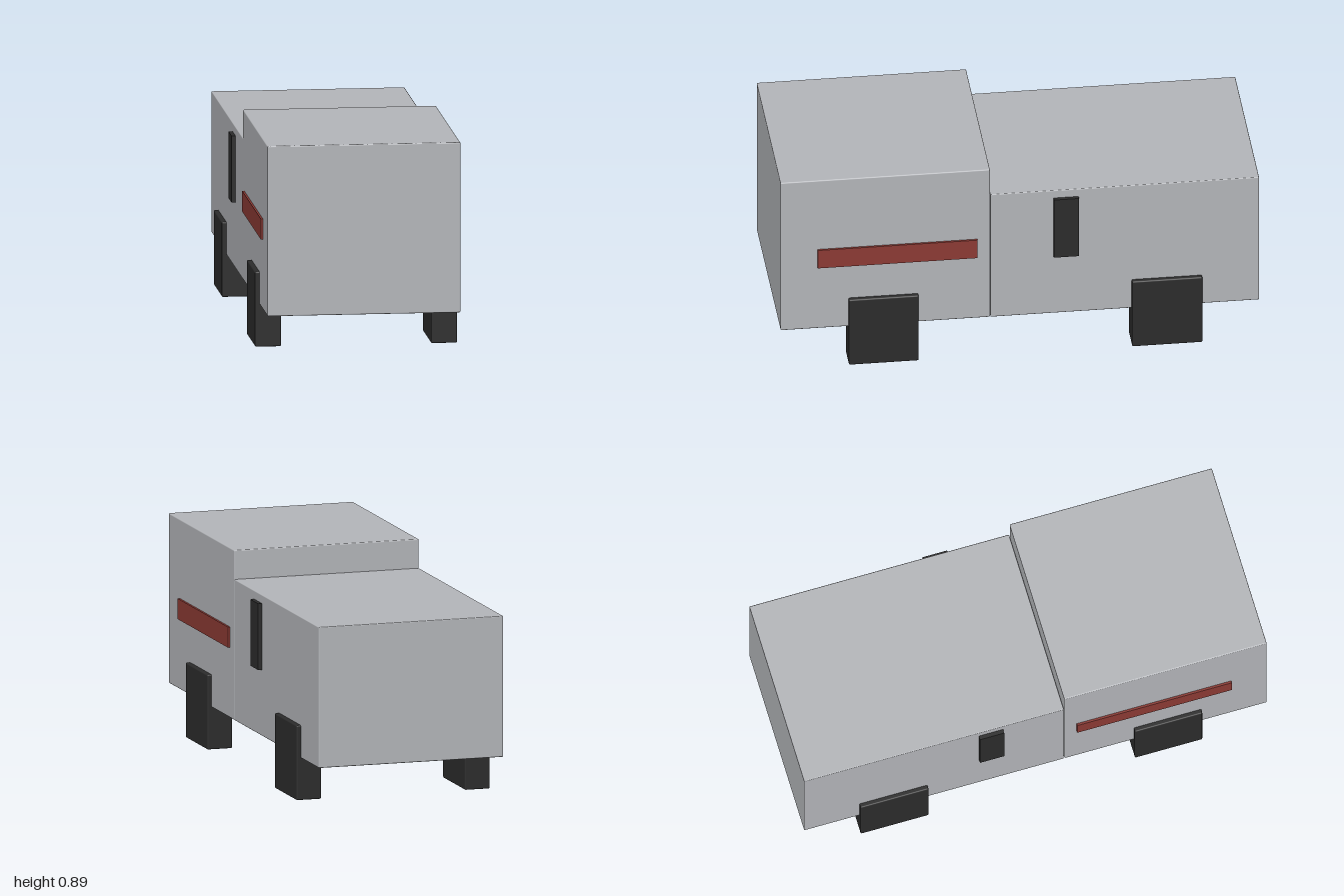
import * as THREE from 'three';
import { RoundedBoxGeometry } from 'three/addons/geometries/RoundedBoxGeometry.js';

export function createModel() {
  const model = new THREE.Group();
  model.name = 'blockTruck';

  const paint = (name, color) => {
    const m = new THREE.MeshStandardMaterial({ color });
    m.name = name;
    return m;
  };
  const grey = paint('bodyGrey', 0xb4b6ba);
  const red = paint('stripeRed', 0x8c3a34);
  const black = paint('rubberBlack', 0x2c2c2c);

  // Box given by its [min, max] extents, with finely eased edges
  function block(name, material, [x0, x1], [y0, y1], [z0, z1], bevel) {
    const w = x1 - x0, h = y1 - y0, d = z1 - z0;
    const geometry = bevel
      ? new RoundedBoxGeometry(w, h, d, 2, bevel)
      : new THREE.BoxGeometry(w, h, d);
    const mesh = new THREE.Mesh(geometry, material);
    mesh.name = name;
    mesh.position.set((x0 + x1) / 2, (y0 + y1) / 2, (z0 + z1) / 2);
    model.add(mesh);
  }

  // Taller cab in front, lower cargo box behind
  block('cab', grey, [-0.403, 0.403], [0.178, 0.895], [0.125, 1], 0.005);
  block('cargoBox', grey, [-0.403, 0.403], [0.178, 0.773], [-1, 0.123], 0.004);

  // Parts repeated on both sides
  for (const [side, s] of [['left', 1], ['right', -1]]) {
    const span = (a, b) => (s > 0 ? [a, b] : [-b, -a]);

    // Square wheels
    block(side + 'FrontWheel', black, span(0.313, 0.422), [0, 0.316], [0.425, 0.717], 0.006);
    block(side + 'RearWheel', black, span(0.313, 0.422), [0, 0.316], [-0.761, -0.467], 0.006);

    // Red stripe on the cab and upright black panel on the cargo box
    block(side + 'Stripe', red, span(0.404, 0.413), [0.475, 0.562], [0.178, 0.846], 0);
    block(side + 'SidePanel', black, span(0.4, 0.42), [0.457, 0.737], [-0.245, -0.14], 0);
  }

  return model;
}
